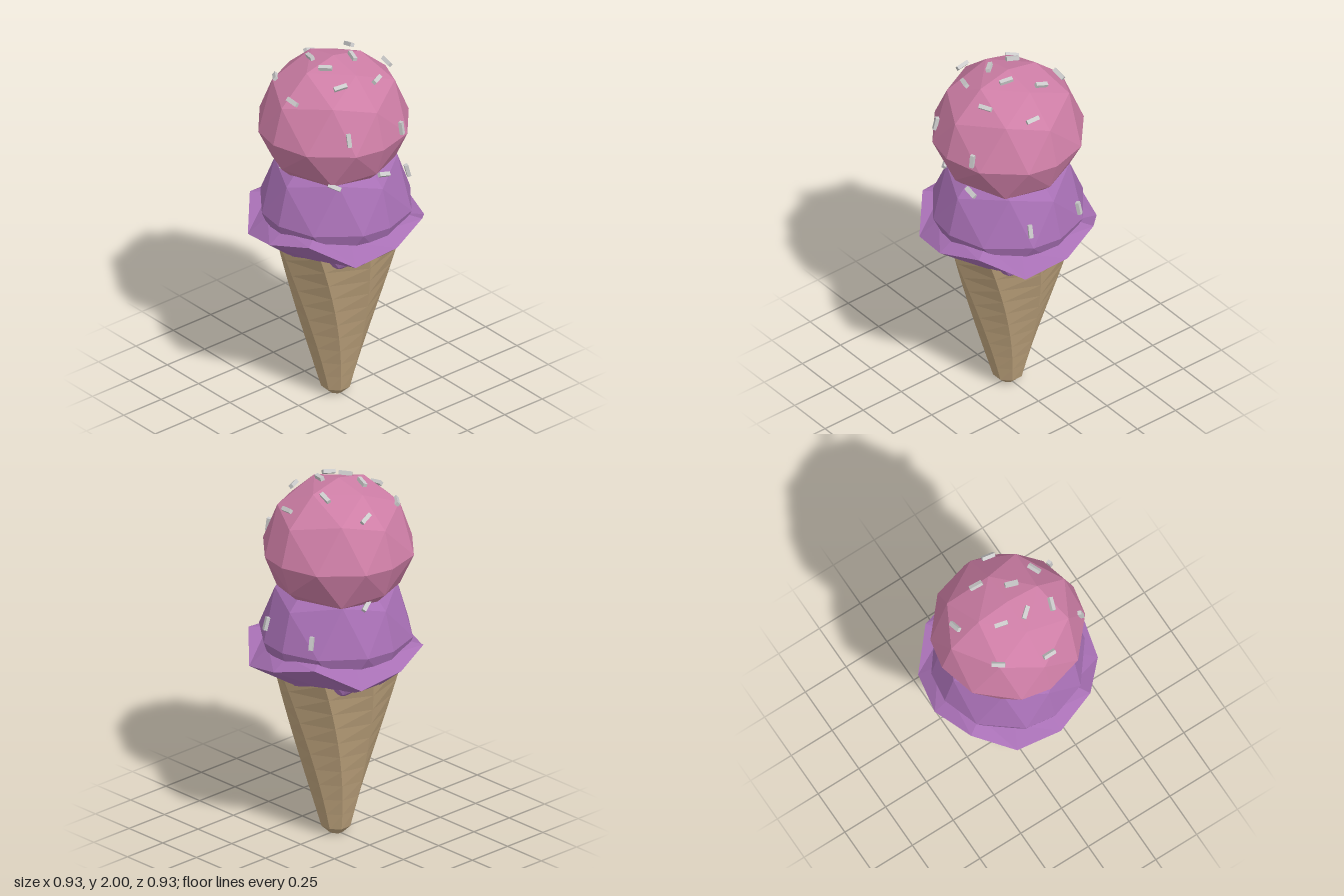
import * as THREE from 'three';

const paint = (color) => new THREE.MeshStandardMaterial({ color, flatShading: true });

// Moves every vertex by a rule and gives the geometry flat facets.
function shape(geometry, rule) {
  const pos = geometry.attributes.position;
  const v = new THREE.Vector3();
  for (let i = 0; i < pos.count; i++) {
    rule(v.fromBufferAttribute(pos, i));
    pos.setXYZ(i, v.x, v.y, v.z);
  }
  const flat = geometry.index ? geometry.toNonIndexed() : geometry;
  flat.computeVertexNormals();
  return flat;
}

function addMesh(parent, name, geometry, material) {
  const mesh = new THREE.Mesh(geometry, material);
  mesh.name = name;
  parent.add(mesh);
  return mesh;
}

const UP = new THREE.Vector3(0, 1, 0);

// Faceted ball, slightly full above its middle, with a small swirl.
function scoopGeometry(radius, height) {
  return shape(new THREE.OctahedronGeometry(1, 2), (v) => {
    v.applyAxisAngle(UP, 0.075 * Math.abs(Math.sin(2 * Math.atan2(v.x, v.z))));
    if (v.y > 0.1 && v.y < 0.7) { v.y += 0.08; v.normalize(); }
    if (v.y < -0.1) v.multiplyScalar(0.96);
    v.set(v.x * radius, v.y * height, v.z * radius);
  });
}

// Sprinkles: x, y, z, then the heading in x and z.
const UPPER_SPRINKLES = [
  [0.065, 1.87, -0.285, 1, 0.15], [-0.09, 1.95, -0.162, 1, 0.15],
  [0.06, 1.985, -0.06, 1, 0.3], [0.22, 1.905, -0.09, 0.45, 1],
  [-0.285, 1.865, -0.06, 0.15, 1], [-0.1, 1.965, 0.09, 1, 0.3],
  [0.04, 1.965, 0.105, 1, -0.85], [0.185, 1.92, 0.125, 0.35, -1],
  [-0.21, 1.85, 0.23, 1, 0.75], [0.04, 1.845, 0.325, 1, -0.05],
  [0.35, 1.655, -0.145, 1, -0.3], [0.325, 1.69, 0.185, 1, 0.2],
];
const LOWER_SPRINKLES = [
  [-0.07, 1.39, 0.28, 1, 0], [0.24, 1.385, 0.21, 1, -0.7],
  [0.3, 1.385, -0.07, 0, 1], [-0.3, 1.385, -0.07, 0.3, 1],
  [0.14, 1.23, -0.36, 0.3, -1], [-0.185, 1.22, -0.35, -0.4, -1],
];

function sprinkles(name, list, center) {
  const group = new THREE.Group();
  group.name = name;
  const geometry = new THREE.BoxGeometry(0.07, 0.02, 0.022);
  const material = paint(0xcccccc);
  for (const [x, y, z, dx, dz] of list) {
    const mesh = addMesh(group, 'sprinkle', geometry, material);
    mesh.position.set(x, y, z);
    // Lay the long side along the scoop's surface.
    const n = mesh.position.clone().sub(center).normalize();
    const along = new THREE.Vector3(dx, -(n.x * dx + n.z * dz) / n.y, dz).normalize();
    const side = along.clone().cross(n);
    mesh.quaternion.setFromRotationMatrix(new THREE.Matrix4().makeBasis(along, n, side));
  }
  return group;
}

export function createModel() {
  const model = new THREE.Group();
  model.name = 'iceCreamCone';
  const wafer = paint(0xc0a57e);
  const berry = paint(0xa870b5);
  const pink = paint(0xce7ea6);

  // Eight-sided wafer cone, twisting gently on the way down
  const topAngle = THREE.MathUtils.degToRad(-8.6);
  const tipAngle = THREE.MathUtils.degToRad(22.5);
  const cone = new THREE.CylinderGeometry(0.337, 0.08, 0.92, 8, 10, false, tipAngle);
  cone.translate(0, 0.5, 0);
  addMesh(model, 'cone', shape(cone, (v) => {
    v.applyAxisAngle(UP, (topAngle - tipAngle) * (v.y - 0.04) / 0.92);
  }), wafer);
  const tip = new THREE.CylinderGeometry(0.08, 0.038, 0.04, 8, 1, false, tipAngle);
  addMesh(model, 'coneTip', shape(tip, (v) => { v.y += 0.02; }), wafer);

  // Wavy skirt of melted ice cream on the rim
  const profile = [[0, 0.955], [0.335, 0.935], [0.463, 1.04], [0.36, 1.095], [0.2, 1.1]];
  const skirt = new THREE.LatheGeometry(profile.map((p) => new THREE.Vector2(...p)), 12);
  addMesh(model, 'skirt', shape(skirt, (v) => {
    const r = Math.hypot(v.x, v.z);
    const wave = r > 0.4 ? 0.065 : r > 0.3 ? 0.018 : 0;
    v.y += wave * Math.sin(4 * Math.atan2(v.x, v.z));
    v.applyAxisAngle(UP, 0.045);
  }), berry).material.side = THREE.DoubleSide;

  // Two stacked scoops
  const lower = addMesh(model, 'lowerScoop', scoopGeometry(0.405, 0.41), berry);
  lower.position.set(0, 1.13, 0);
  lower.rotation.y = 0.06;
  const upper = addMesh(model, 'upperScoop', scoopGeometry(0.403, 0.385), pink);
  upper.position.set(-0.008, 1.6, 0.01);

  model.add(sprinkles('upperSprinkles', UPPER_SPRINKLES, upper.position));
  model.add(sprinkles('lowerSprinkles', LOWER_SPRINKLES, lower.position));
  return model;
}
